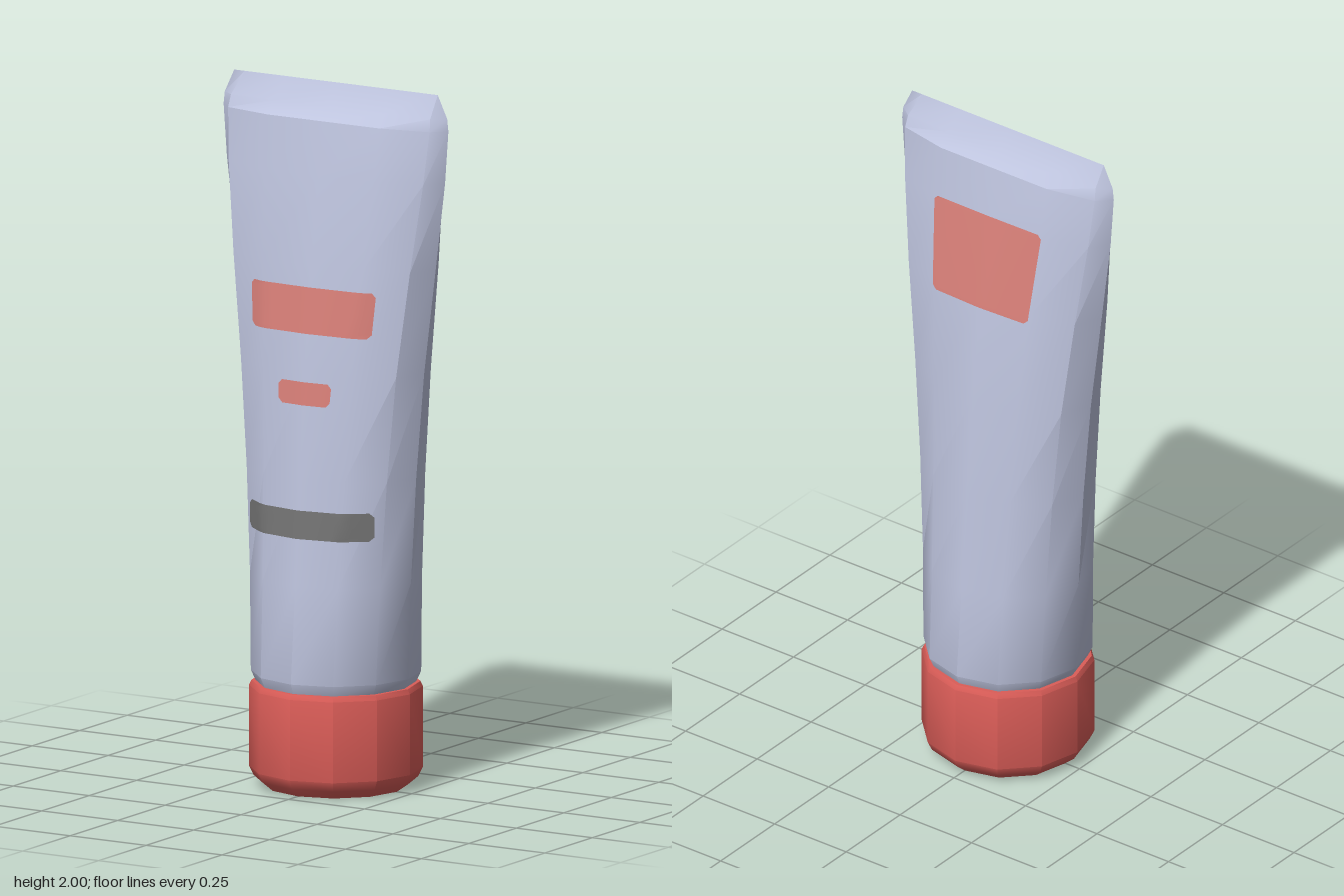
import * as THREE from 'three';
import { toCreasedNormals } from 'three/addons/utils/BufferGeometryUtils.js';

const SIDES = 12;

// Tube sections: height, half width, half depth, flatness, depth share at 60 degrees
const SECTIONS = [
  [0.29, 0.222, 0.222, 0, 0.5],
  [0.325, 0.238, 0.238, 0, 0.5],
  [0.6, 0.247, 0.215, 0.1, 0.51],
  [0.9, 0.264, 0.191, 0.25, 0.53],
  [1.2, 0.29, 0.164, 0.45, 0.56],
  [1.5, 0.328, 0.13, 0.65, 0.58],
  [1.75, 0.359, 0.093, 0.85, 0.57],
  [1.9, 0.37, 0.067, 1, 0.56],
  [1.935, 0.366, 0.032, 1, 0.9],
  [2, 0.335, 0, 1, 0.9],
];

// Quarter outline of a section, from the middle of the front to the side
function quarter([, a, b, flat, share]) {
  return [
    [0, b],
    [0.5 * a, b * (0.866 + 0.13 * flat)],
    [a * (0.866 + 0.03 * flat), b * share],
    [a, 0],
  ];
}

function sectionAt(y) {
  const i = Math.max(1, SECTIONS.findIndex((s) => s[0] >= y));
  const lo = SECTIONS[i - 1], hi = SECTIONS[i];
  const t = (y - lo[0]) / (hi[0] - lo[0]);
  return lo.map((v, k) => v + (hi[k] - v) * t);
}

// Depth of the front wall at a given x and y
function wallDepth(x, y) {
  const q = quarter(sectionAt(y));
  const ax = Math.abs(x);
  let i = 1;
  while (i < 3 && q[i][0] < ax) i++;
  const t = (ax - q[i - 1][0]) / (q[i][0] - q[i - 1][0]);
  return q[i - 1][1] + (q[i][1] - q[i - 1][1]) * t;
}

// Skin between rows of points that all have the same length
function skin(rows) {
  const n = rows[0].length, index = [];
  for (let j = 0; j < rows.length - 1; j++) {
    for (let i = 0; i < n - 1; i++) {
      const a = j * n + i, d = a + n;
      index.push(a, a + 1, d + 1, a, d + 1, d);
    }
  }
  const geo = new THREE.BufferGeometry();
  geo.setAttribute('position', new THREE.Float32BufferAttribute(rows.flat(2), 3));
  geo.setIndex(index);
  geo.computeVertexNormals();
  return geo;
}

function tubeGeometry() {
  const rows = SECTIONS.map((s) => {
    const q = quarter(s), row = [];
    for (let i = 0; i <= SIDES; i++) {
      const k = i % SIDES;
      const fold = k % 6 <= 3 ? k % 6 : 6 - (k % 6);
      const [x, z] = q[k === 6 ? 0 : fold];
      const right = k <= 6 ? 1 : -1;
      const front = k <= 3 || k >= 9 ? 1 : -1;
      row.push([x * right, s[0], z * front]);
    }
    return row;
  });
  return toCreasedNormals(skin(rows), 0.6);
}

// Thin label following the wall, with clipped corners; side is 1 for front, -1 for back
function labelGeometry(y0, y1, halfBottom, halfTop, side = 1) {
  const clip = 0.012, rows = [];
  const heights = [y0, y0 + clip, (y0 + y1) / 2, y1 - clip, y1];
  heights.forEach((y, j) => {
    const t = (y - y0) / (y1 - y0);
    const half = halfBottom + (halfTop - halfBottom) * t - (j % 4 === 0 ? clip : 0);
    const row = [];
    for (let i = 0; i <= 16; i++) {
      const x = half * (i / 8 - 1);
      row.push([x * side, y, (wallDepth(x, y) + 0.005) * side]);
    }
    rows.push(row);
  });
  return skin(rows);
}

export function createModel() {
  const material = (name, color) => {
    const m = new THREE.MeshStandardMaterial({ color });
    m.name = name;
    return m;
  };
  const tubeBlue = material('paleBlue', 0xbec4de);
  const capRed = material('capRed', 0xdb5d58);
  const labelRed = material('labelRed', 0xd98079);
  const labelGrey = material('labelGrey', 0x747474);
  labelRed.side = labelGrey.side = THREE.DoubleSide;

  const model = new THREE.Group();
  model.name = 'squeezeTube';
  const add = (name, geo, mat) => {
    const mesh = new THREE.Mesh(geo, mat);
    mesh.name = name;
    model.add(mesh);
  };

  // Body, round at the cap and pinched flat at the top
  add('tubeBody', tubeGeometry(), tubeBlue);

  // Twelve-sided cap with chamfered foot and rim
  const capProfile = [
    [0, 0], [0.2, 0], [0.23, 0.025], [0.243, 0.052],
    [0.243, 0.282], [0.236, 0.296], [0.2, 0.296],
  ].map(([r, y]) => new THREE.Vector2(r, y));
  add('cap', toCreasedNormals(new THREE.LatheGeometry(capProfile, SIDES), 0.6), capRed);

  // Labels
  add('frontTitleLabel', labelGeometry(1.31, 1.44, 0.195, 0.205), labelRed);
  add('frontSmallLabel', labelGeometry(1.11, 1.175, 0.083, 0.087), labelRed);
  add('frontGreyBand', labelGeometry(0.735, 0.815, 0.205, 0.205), labelGrey);
  add('backLabel', labelGeometry(1.48, 1.76, 0.165, 0.187, -1), labelRed);

  return model;
}
